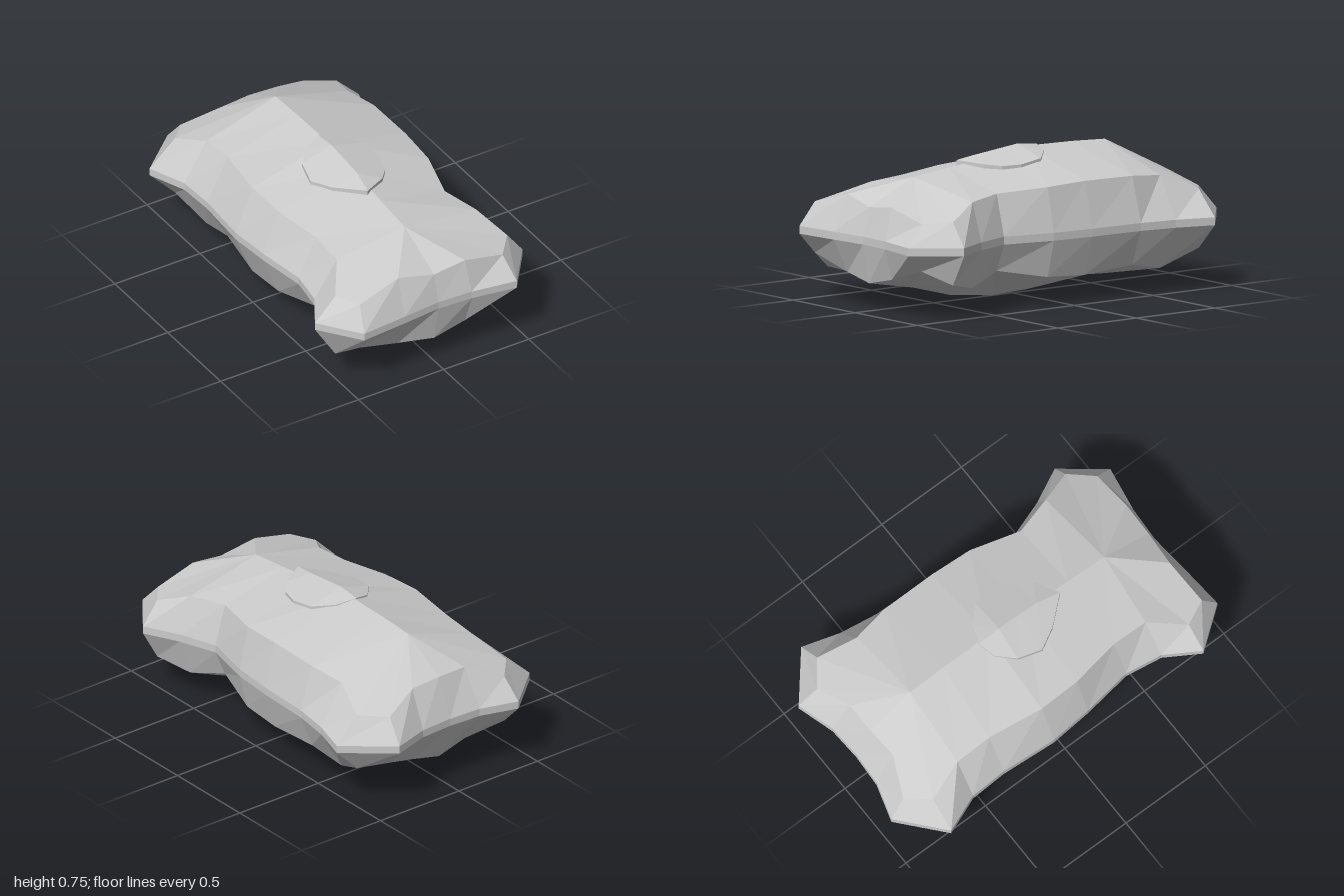
import * as THREE from 'three';

const material = new THREE.MeshStandardMaterial({ color: 0xcccccc, flatShading: true, side: THREE.DoubleSide });

// Joins closed rings (listed bottom to top) and closes each end onto a spine.
// nearest[i] is the spine point that ring point i is tied to.
function buildShell(rings, nearest, bottomSpine, topSpine) {
  const n = nearest.length;
  const out = [];
  const tri = (a, b, c) => out.push(...a, ...b, ...c);
  const cap = (ring, spine, up) => {
    for (let i = 0; i < n; i++) {
      const j = (i + 1) % n;
      const a = ring[i], b = ring[j], s = spine[nearest[i]], t = spine[nearest[j]];
      if (up) tri(a, b, t); else tri(b, a, t);
      if (s !== t) { if (up) tri(a, t, s); else tri(a, s, t); }
    }
  };
  for (let r = 0; r + 1 < rings.length; r++) {
    for (let i = 0; i < n; i++) {
      const j = (i + 1) % n;
      tri(rings[r][i], rings[r][j], rings[r + 1][j]);
      tri(rings[r][i], rings[r + 1][j], rings[r + 1][i]);
    }
  }
  if (bottomSpine) cap(rings[0], bottomSpine, false);
  cap(rings[rings.length - 1], topSpine, true);
  const geometry = new THREE.BufferGeometry();
  geometry.setAttribute('position', new THREE.Float32BufferAttribute(out, 3));
  geometry.computeVertexNormals();
  return geometry;
}

// Long sides, front to back: z, right seam x, left seam x, right rim x, left rim x, top rim y, lower rim y
const sides = [
  [0.78, -0.62, 0.60, -0.50, 0.51, 0.50, 0.18],
  [0.60, -0.51, 0.51, -0.38, 0.44, 0.575, 0.14],
  [0.40, -0.48, 0.44, -0.38, 0.38, 0.59, 0.20],
  [0.13, -0.52, 0.50, -0.43, 0.45, 0.605, 0.15],
  [-0.10, -0.54, 0.52, -0.44, 0.46, 0.615, 0.14],
  [-0.40, -0.52, 0.53, -0.40, 0.46, 0.61, 0.16],
  [-0.60, -0.53, 0.56, -0.40, 0.43, 0.59, 0.12],
  [-0.80, -0.61, 0.62, -0.46, 0.49, 0.51, 0.21],
];
// Short ends, right to left: x, seam z, rim z, top rim y, lower rim y
const frontEnd = [
  [-0.46, 0.99, 0.91, 0.50, 0.24],
  [-0.21, 0.97, 0.89, 0.565, 0.17],
  [0.00, 0.95, 0.91, 0.525, 0.14],
  [0.19, 0.96, 0.91, 0.545, 0.18],
  [0.43, 1.00, 0.90, 0.49, 0.25],
];
const backEnd = [
  [-0.38, -1.00, -0.91, 0.49, 0.24],
  [-0.18, -0.94, -0.83, 0.575, 0.17],
  [0.00, -0.93, -0.84, 0.58, 0.13],
  [0.18, -0.94, -0.84, 0.57, 0.17],
  [0.38, -1.00, -0.90, 0.50, 0.24],
];
// Centre ridge: z, top y, bottom y
const ridge = [
  [0.63, 0.65, 0.09], [0.40, 0.675, 0.03], [0.13, 0.705, 0.0],
  [-0.10, 0.735, 0.01], [-0.38, 0.73, 0.05], [-0.59, 0.72, 0.04],
];

function cushionGeometry() {
  const low = [], seamLow = [], seamHigh = [], high = [], nearest = [];
  const addSide = (row, i, left) => {
    const [z, seamR, seamL, rimR, rimL, top, bottom] = row;
    const seam = left ? seamL : seamR, rim = left ? rimL : rimR;
    // The corners draw in lengthwise as well as sideways
    low.push([rim, bottom - (left ? 0 : 0.03), z]);
    seamLow.push([seam, 0.34, z]);
    seamHigh.push([seam, 0.38, z]);
    high.push([rim, top, z]);
    nearest.push(THREE.MathUtils.clamp(i - 1, 0, ridge.length - 1));
  };
  const addEnd = ([x, seamZ, rimZ, top, bottom], spine) => {
    low.push([x * 0.95, bottom, rimZ]);
    seamLow.push([x, 0.34, seamZ]);
    seamHigh.push([x, 0.38, seamZ]);
    high.push([x * 0.95, top, rimZ]);
    nearest.push(spine);
  };
  sides.forEach((row, i) => addSide(row, i, true));
  [...backEnd].reverse().forEach((row) => addEnd(row, ridge.length - 1));
  for (let i = sides.length - 1; i >= 0; i--) addSide(sides[i], i, false);
  frontEnd.forEach((row) => addEnd(row, 0));
  return buildShell([low, seamLow, seamHigh, high], nearest,
    ridge.map(([z, , y]) => [0, y, z]), ridge.map(([z, y]) => [0, y, z]));
}

// Thin oval patch folded over the ridge
function patchGeometry() {
  const outline = [
    [-0.03, 0.33], [0.10, 0.26], [0.16, 0.19], [0.19, 0.09], [0.18, -0.04],
    [0.09, -0.13], [-0.01, -0.165], [-0.10, -0.14], [-0.18, -0.05], [-0.21, 0.08], [-0.15, 0.19],
  ];
  const crest = (z) => z > -0.04 ? 0.75 - (z + 0.04) * 0.11 : 0.75 + (z + 0.04) * 0.08;
  const ring = (drop) => outline.map(([x, z]) => [x, crest(z) - Math.abs(x) * 0.28 - drop, z]);
  const nearest = outline.map(([, z]) => (z > 0.14 ? 0 : z > 0 ? 1 : 2));
  const spine = [0.2, 0.08, -0.04].map((z) => [-0.01, crest(z), z]);
  return buildShell([ring(0.04), ring(0)], nearest, null, spine);
}

export function createModel() {
  const model = new THREE.Group();
  model.name = 'pillow';
  const parts = { cushion: cushionGeometry(), topPatch: patchGeometry() };
  for (const [name, geometry] of Object.entries(parts)) {
    const mesh = new THREE.Mesh(geometry, material);
    mesh.name = name;
    model.add(mesh);
  }
  return model;
}
